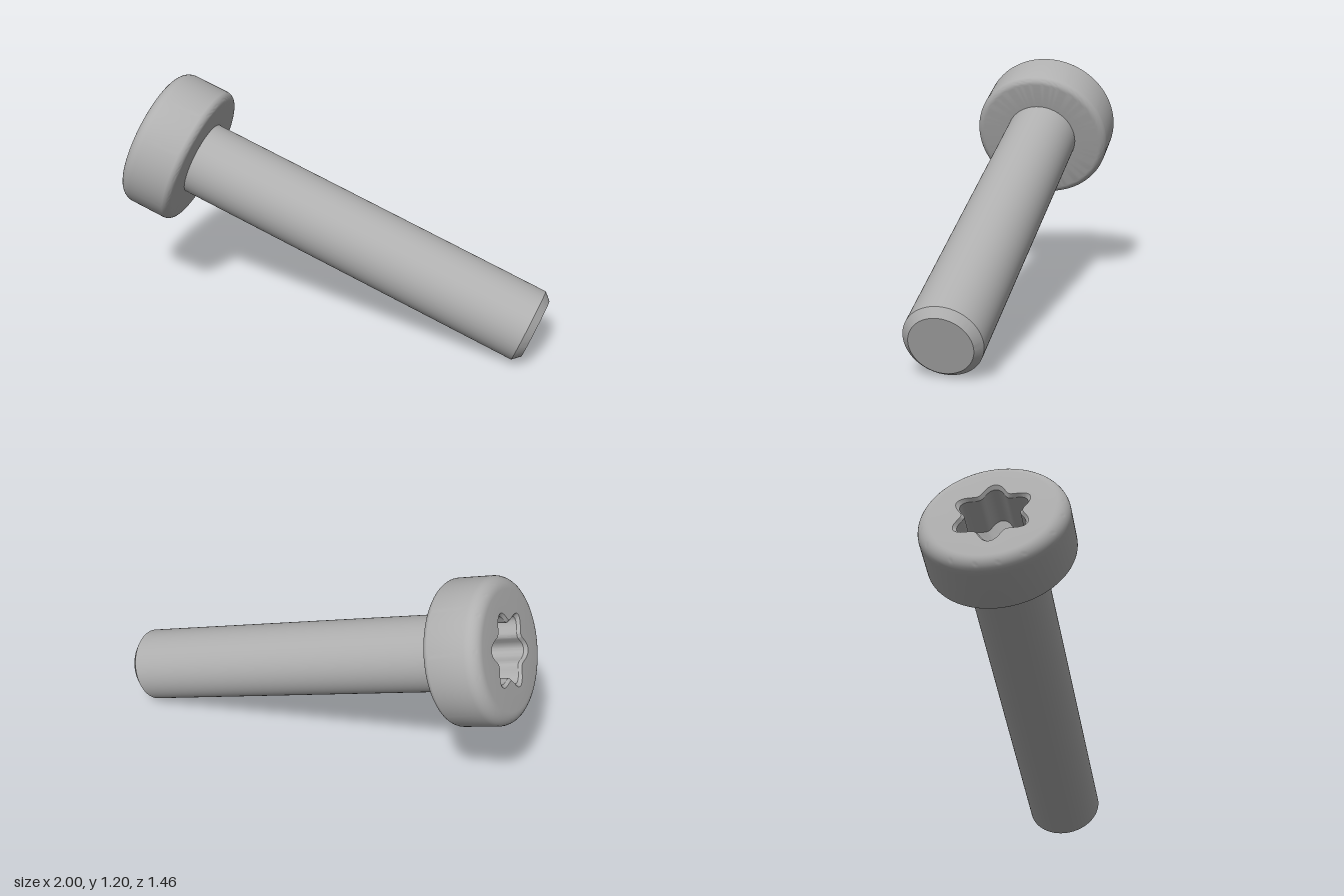
import * as THREE from 'three';
import { toCreasedNormals } from 'three/addons/utils/BufferGeometryUtils.js';

// Sizes along the screw axis (local y: 0 = start of tip chamfer, head on top)
const SHANK_R = 0.186, HEAD_R = 0.353;
const TIP_Y = -0.037, HEAD_BOTTOM = 1.818, HEAD_TOP = 2.1;

// Revolves a profile of [radius, y] pairs, with an optional rule for the vertices
function revolve(profile, segments, rule) {
  const geo = new THREE.LatheGeometry(profile.map(([r, y]) => new THREE.Vector2(r, y)), segments);
  if (rule) {
    const pos = geo.attributes.position;
    for (let i = 0; i < pos.count; i++) {
      const k = rule(Math.hypot(pos.getX(i), pos.getZ(i)), Math.atan2(pos.getX(i), pos.getZ(i)));
      pos.setX(i, pos.getX(i) * k);
      pos.setZ(i, pos.getZ(i) * k);
    }
  }
  return toCreasedNormals(geo, 0.5);
}

// Quarter-round fillet from angle a0 to a0 + 90 degrees
function fillet(r, y, radius, a0, steps = 8) {
  return Array.from({ length: steps + 1 }, (_, i) => {
    const a = a0 + (i / steps) * Math.PI / 2;
    return [r + radius * Math.cos(a), y + radius * Math.sin(a)];
  });
}

export function createModel() {
  const steel = new THREE.MeshStandardMaterial({ color: 0xb0b0b0 });
  steel.name = 'steel grey';

  // Plain shank with a chamfered tip
  const shank = new THREE.Mesh(revolve([
    [0, TIP_Y], [0.15, TIP_Y], [SHANK_R, 0], [SHANK_R, HEAD_BOTTOM],
  ], 96), steel);
  shank.name = 'shank';

  // Cylindrical head: rounded edges, flat face, star-shaped socket with a conical floor
  const under = 0.04, over = 0.065;
  const star = (r, a) => (r < 0.18 ? 1 + 0.16 * Math.cos(6 * a) : 1);
  const head = new THREE.Mesh(revolve([
    [SHANK_R, HEAD_BOTTOM],
    ...fillet(HEAD_R - under, HEAD_BOTTOM + under, under, -Math.PI / 2),
    ...fillet(HEAD_R - over, HEAD_TOP - over, over, 0),
    [0.168, HEAD_TOP],
    [0.153, HEAD_TOP - 0.015],
    [0.153, HEAD_TOP - 0.2],
    [0, HEAD_TOP - 0.26],
  ], 120, star), steel);
  head.name = 'head';

  // Lay the screw along its slanting axis
  const axis = new THREE.Vector3(-0.8085, 0.339, -0.481).normalize();
  const up = new THREE.Vector3(0, 1, 0).addScaledVector(axis, -axis.y).normalize();
  const side = new THREE.Vector3().crossVectors(axis, up);
  const screw = new THREE.Group();
  screw.name = 'screw';
  screw.add(shank, head);
  screw.quaternion.setFromRotationMatrix(new THREE.Matrix4().makeBasis(side, axis, up));
  screw.position.set(0.882, 0.176, 0.567);

  const model = new THREE.Group();
  model.name = 'machineScrew';
  model.add(screw);
  return model;
}
